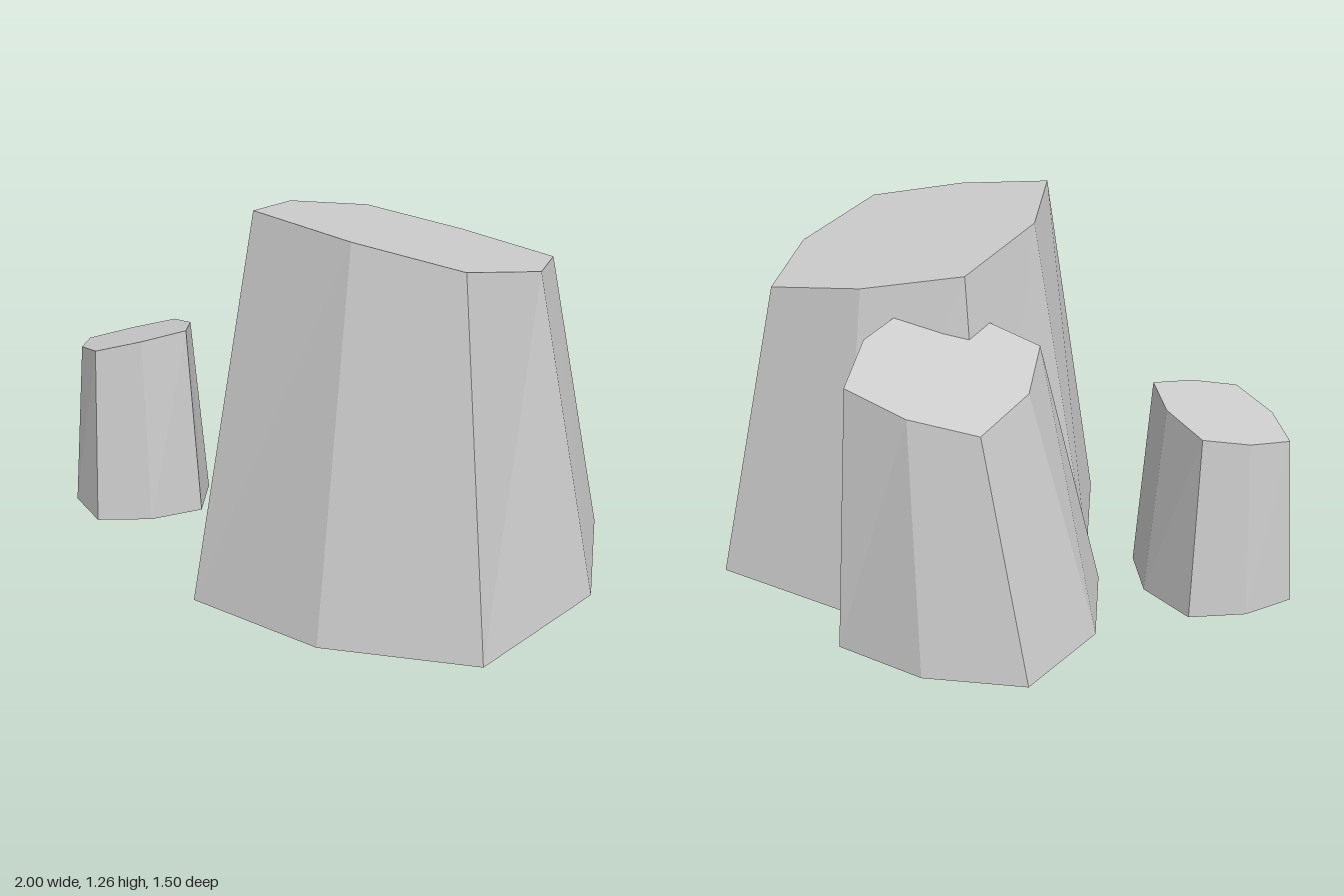
import * as THREE from 'three';

const material = new THREE.MeshStandardMaterial({
  color: 0xcccccc, flatShading: true, side: THREE.DoubleSide,
});

// Four [x, z] corners, plus the same four mirrored through the centre.
function octagon([cx, cz], half) {
  return [...half, ...half.map(([x, z]) => [2 * cx - x, 2 * cz - z])];
}

// Tapered eight-sided rock, open below, with a top cut along a sloping plane.
function rock(name, { floor, baseCentre, base, topCentre, top, height, slope }) {
  const lower = octagon(baseCentre, base).map(([x, z]) => [x, floor, z]);
  const topPoint = ([x, z]) => [
    x, height + slope[0] * (x - topCentre[0]) + slope[1] * (z - topCentre[1]), z,
  ];
  const upper = octagon(topCentre, top).map(topPoint);
  const centre = topPoint(topCentre);

  const positions = [];
  for (let i = 0; i < 8; i++) {
    const j = (i + 1) % 8;
    positions.push(...lower[i], ...lower[j], ...upper[j]); // wall
    positions.push(...lower[i], ...upper[j], ...upper[i]);
    positions.push(...centre, ...upper[i], ...upper[j]); // cap
  }
  const geometry = new THREE.BufferGeometry();
  geometry.setAttribute('position', new THREE.Float32BufferAttribute(positions, 3));
  geometry.computeVertexNormals();
  const mesh = new THREE.Mesh(geometry, material);
  mesh.name = name;
  return mesh;
}

export function createModel() {
  const group = new THREE.Group();
  group.name = 'rockCluster';

  group.add(
    rock('largeRock', {
      floor: 0,
      baseCentre: [0.282, 0],
      base: [[0.61, 0.605], [0.998, 0.275], [0.858, -0.312], [0.445, -0.748]],
      topCentre: [0.279, -0.008],
      top: [[0.51, 0.4], [0.79, 0.197], [0.67, -0.212], [0.393, -0.532]],
      height: 1.136,
      slope: [-0.071, 0.221],
    }),
    rock('mediumRock', {
      floor: 0.015,
      baseCentre: [-0.36, -0.278],
      base: [[-0.255, -0.755], [-0.565, -0.67], [-0.815, -0.455], [-0.727, -0.08]],
      topCentre: [-0.33, -0.375],
      top: [[-0.255, -0.705], [-0.46, -0.63], [-0.63, -0.49], [-0.56, -0.235]],
      height: 0.893,
      slope: [0.316, 0.109],
    }),
    rock('smallRock', {
      floor: 0.02,
      baseCentre: [-0.726, 0.478],
      base: [[-0.595, 0.735], [-0.485, 0.575], [-0.452, 0.385], [-0.633, 0.247]],
      topCentre: [-0.728, 0.474],
      top: [[-0.612, 0.697], [-0.532, 0.557], [-0.498, 0.396], [-0.658, 0.287]],
      height: 0.645,
      slope: [0.211, -0.085],
    }),
  );
  return group;
}
